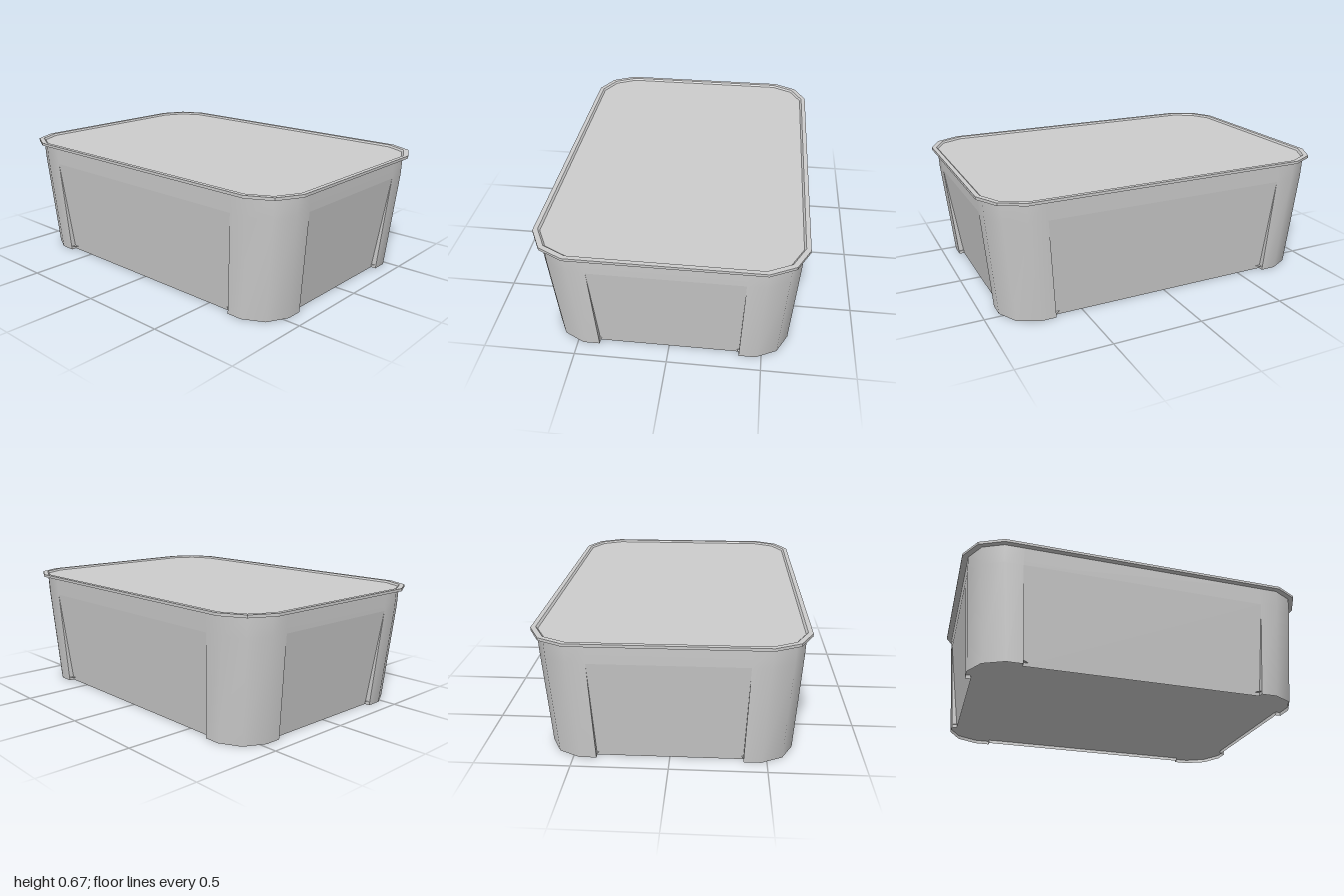
import * as THREE from 'three';

const grey = new THREE.MeshStandardMaterial({ color: 0xcccccc, side: THREE.DoubleSide });
grey.name = 'light grey plastic';

// Rounded rectangle of 20 points; px and pz are the panel edges on the long and short sides
function outline(y, hx, hz, r, px = 0.69, pz = 0.4) {
  const k = 0.66 * r;
  const quarter = [[px, hz], [hx - r, hz], [hx - r + k, hz - r + k], [hx, hz - r], [hx, pz]];
  const ring = [];
  for (const [sx, sz] of [[1, 1], [1, -1], [-1, -1], [-1, 1]]) {
    const pts = quarter.map(([x, z]) => new THREE.Vector3(x * sx, y, z * sz));
    ring.push(...(sx * sz > 0 ? pts : pts.reverse()));
  }
  return ring;
}

// Skin between rings; keep(row, i) can leave quads open
function loft(rings, keep = () => true, flat = false) {
  const n = rings[0].length, index = [];
  for (let r = 0; r < rings.length - 1; r++) {
    for (let i = 0; i < n; i++) {
      if (!keep(r, i)) continue;
      const a = r * n + i, b = r * n + (i + 1) % n;
      index.push(a, b, b + n, a, b + n, a + n);
    }
  }
  let geo = new THREE.BufferGeometry().setFromPoints(rings.flat());
  geo.setIndex(index);
  if (flat) geo = geo.toNonIndexed();
  geo.computeVertexNormals();
  return geo;
}

// Flat plate filling a ring
function plate(ring, up) {
  const n = ring.length, index = [];
  const centre = new THREE.Vector3(0, ring[0].y, 0);
  for (let i = 0; i < n; i++) {
    const j = (i + 1) % n;
    index.push(n, ...(up ? [i, j] : [j, i]));
  }
  const geo = new THREE.BufferGeometry().setFromPoints([...ring, centre]);
  geo.setIndex(index);
  geo.computeVertexNormals();
  return geo;
}

export function createModel() {
  const group = new THREE.Group();
  const add = (name, geo) => {
    const mesh = new THREE.Mesh(geo, grey);
    mesh.name = name;
    group.add(mesh);
  };

  // Tapered body with openings for the four side panels
  const foot = outline(0, 0.913, 0.64, 0.17, 0.655, 0.38);
  const shoulder = outline(0.555, 0.964, 0.668, 0.17);
  const neck = outline(0.66, 0.967, 0.672, 0.17);
  add('body', loft([foot, shoulder, neck], (row, i) => row > 0 || i % 5 !== 4));

  // Panels lean inward from the shoulder, with thin triangular cheeks
  const inset = 0.03;
  const footprint = [];
  const names = ['rightPanel', 'backPanel', 'leftPanel', 'frontPanel'];
  const inward = [[-1, 0], [0, 1], [1, 0], [0, -1]];
  names.forEach((name, s) => {
    const i = s * 5 + 4, j = (i + 1) % 20;
    const shift = new THREE.Vector3(inward[s][0], 0, inward[s][1]).multiplyScalar(inset);
    const a = foot[i].clone().add(shift), b = foot[j].clone().add(shift);
    const geo = new THREE.BufferGeometry().setFromPoints([
      a, b, shoulder[j], a, shoulder[j], shoulder[i],
      foot[i], a, shoulder[i],
      b, foot[j], shoulder[j],
    ]);
    geo.computeVertexNormals();
    add(name, geo);
    footprint.push(...foot.slice(s * 5, s * 5 + 5), a, b);
  });

  // Base set slightly up inside the foot
  add('base', plate(footprint.map((p) => new THREE.Vector3(p.x, 0.02, p.z)), false));

  // Overhanging rim and the lid set into it
  const lidRing = outline(0.663, 0.966, 0.668, 0.18);
  add('rim', loft([
    outline(0.658, 0.96, 0.665, 0.17),
    outline(0.658, 1, 0.702, 0.2),
    outline(0.673, 1, 0.702, 0.2),
    outline(0.673, 0.976, 0.678, 0.188),
    lidRing,
  ], undefined, true));
  add('lid', plate(lidRing, true));

  return group;
}
